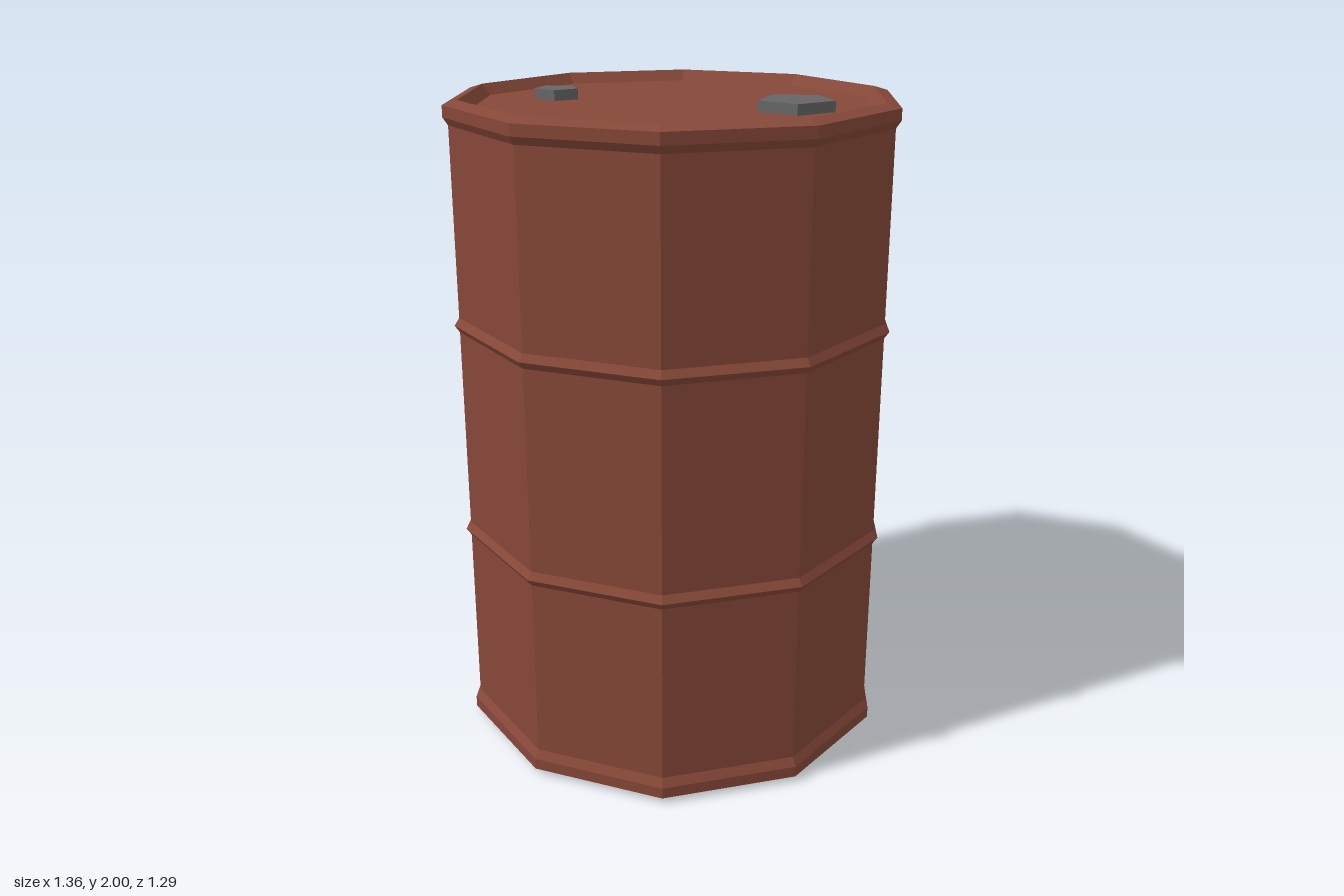
import * as THREE from 'three';

const paint = new THREE.MeshStandardMaterial({ color: 0x864838, flatShading: true });
const steel = new THREE.MeshStandardMaterial({ color: 0x666666, flatShading: true });

const BODY = 0.665, RIM = 0.68, LID_Y = 1.967;

// Pentagonal bung standing on the recessed lid, one corner towards +x
function makeBung(name, x, radius) {
  const height = 0.032;
  const bung = new THREE.Mesh(
    new THREE.CylinderGeometry(radius, radius, height, 5, 1, false, Math.PI / 2), steel);
  bung.name = name;
  bung.position.set(x, LID_Y + height / 2, 0);
  return bung;
}

export function createModel() {
  const model = new THREE.Group();
  model.name = 'barrel';

  // Ten-sided shell: base, bottom rim, two ribs, top rim, recessed lid
  const rib = y => [[BODY, y - 0.022], [RIM, y], [BODY, y + 0.023]];
  const profile = [
    [0, 0], [0.64, 0], [RIM, 0.018], [RIM, 0.053], [BODY, 0.08],
    ...rib(0.668), ...rib(1.338),
    [BODY, 1.93], [RIM, 1.953], [RIM, 1.987], [0.637, 2], [0.61, LID_Y], [0, LID_Y],
  ].map(([r, y]) => new THREE.Vector2(r, y));
  const shell = new THREE.Mesh(new THREE.LatheGeometry(profile, 10, Math.PI / 2), paint);
  shell.name = 'shell';
  model.add(shell);

  // Filler and vent bungs
  model.add(makeBung('largeBung', 0.374, 0.116), makeBung('smallBung', -0.38, 0.069));
  return model;
}
